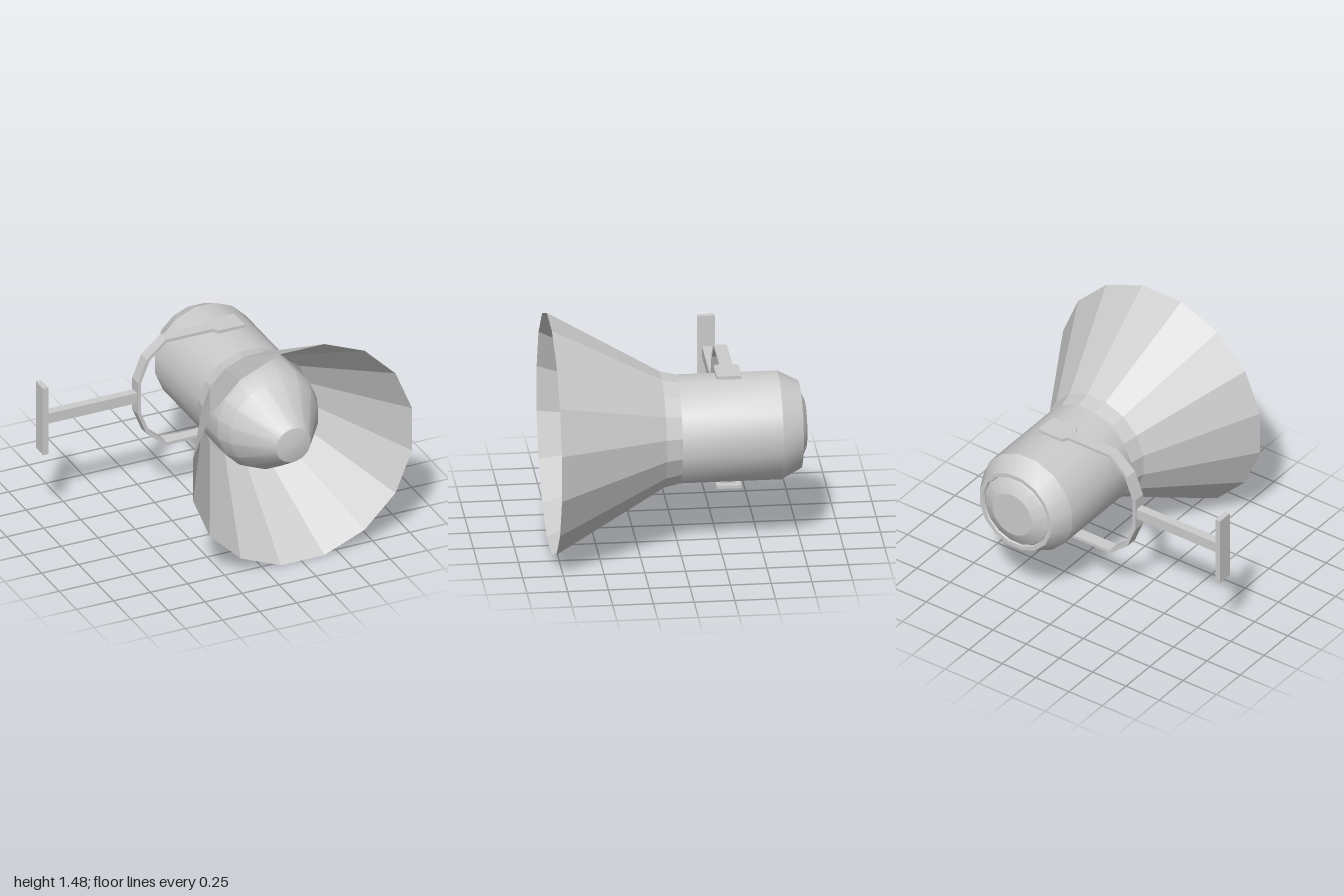
import * as THREE from 'three';
import { toCreasedNormals } from 'three/addons/utils/BufferGeometryUtils.js';

const SIDES = 16;
const AXIS_X = 0.26, AXIS_Y = 0.745, BRACKET_Z = -0.31;

const vecs = (pts) => pts.map(([x, y]) => new THREE.Vector2(x, y));

// Sixteen-sided revolution around z; profile is [flat-to-centre radius, z], back to front
function turned(profile) {
  const pts = vecs(profile.map(([r, z]) => [r / Math.cos(Math.PI / SIDES), z]));
  return new THREE.LatheGeometry(pts, SIDES, Math.PI / SIDES).rotateX(Math.PI / 2);
}

function extruded(pts, depth) {
  const g = new THREE.ExtrudeGeometry(new THREE.Shape(vecs(pts)), { depth, bevelEnabled: false });
  return g.translate(0, 0, -depth / 2);
}

export function createModel() {
  const model = new THREE.Group();
  model.name = 'hornLoudspeaker';
  const smooth = new THREE.MeshStandardMaterial({ color: 0xcccccc });
  const flat = new THREE.MeshStandardMaterial({ color: 0xcccccc, flatShading: true });
  const thin = new THREE.MeshStandardMaterial({ color: 0xcccccc, flatShading: true, side: THREE.DoubleSide });

  const add = (name, geometry, material, x, y, z, parent = model) => {
    const mesh = new THREE.Mesh(geometry, material);
    mesh.name = name;
    mesh.position.set(x, y, z);
    parent.add(mesh);
    return mesh;
  };

  // Driver housing with bevelled, slightly recessed back cap
  const housing = turned([
    [0, -0.785], [0.145, -0.785], [0.225, -0.748], [0.235, -0.738], [0.24, -0.75],
    [0.267, -0.75], [0.333, -0.62], [0.333, 0],
  ]);
  add('driverHousing', toCreasedNormals(housing, 0.4), smooth, AXIS_X, AXIS_Y, 0);

  // Central plug inside the mouth
  const plug = turned([[0.333, 0], [0.333, 0.28], [0.295, 0.38], [0.115, 0.655], [0, 0.68]]);
  add('centrePlug', toCreasedNormals(plug, 0.4), smooth, AXIS_X, AXIS_Y, 0);

  // Open flared horn
  add('horn', turned([[0.333, 0], [0.355, 0.1], [0.74, 0.785]]), thin, AXIS_X, AXIS_Y, 0);

  // Yoke bracket wrapping around the right side of the housing
  const bracket = new THREE.Group();
  bracket.name = 'mountingBracket';
  bracket.position.set(0, AXIS_Y, BRACKET_Z);
  model.add(bracket);
  const mirrored = (half) => [...half, ...half.map(([x, y]) => [x, -y]).reverse()];
  const outer = mirrored([[0.17, 0.37], [-0.165, 0.37], [-0.295, 0.26], [-0.355, 0.11]]);
  const inner = mirrored([[0.17, 0.35], [-0.16, 0.35], [-0.275, 0.248], [-0.333, 0.105]]);
  add('yoke', extruded([...outer, ...inner.reverse()], 0.08), flat, 0, 0, 0, bracket);

  // Wider end plates and their pads, above and below the housing
  const plate = extruded([
    [0.15, -0.04], [0.17, -0.077], [0.35, -0.077], [0.35, 0.077], [0.17, 0.077], [0.15, 0.04],
  ], 0.02).rotateX(Math.PI / 2);
  for (const side of [1, -1]) {
    add('endPlate', plate, flat, 0, side * 0.361, 0, bracket);
    add('platePad', new THREE.BoxGeometry(0.1, 0.03, 0.09), flat, AXIS_X, side * 0.34, 0, bracket);
  }

  // Support rod and wall plate
  add('supportRod', new THREE.BoxGeometry(0.63, 0.07, 0.056), flat, -0.66, 0, 0, bracket);
  add('wallPlate', new THREE.BoxGeometry(0.035, 0.465, 0.105), flat, -0.9825, 0, 0, bracket);

  return model;
}
